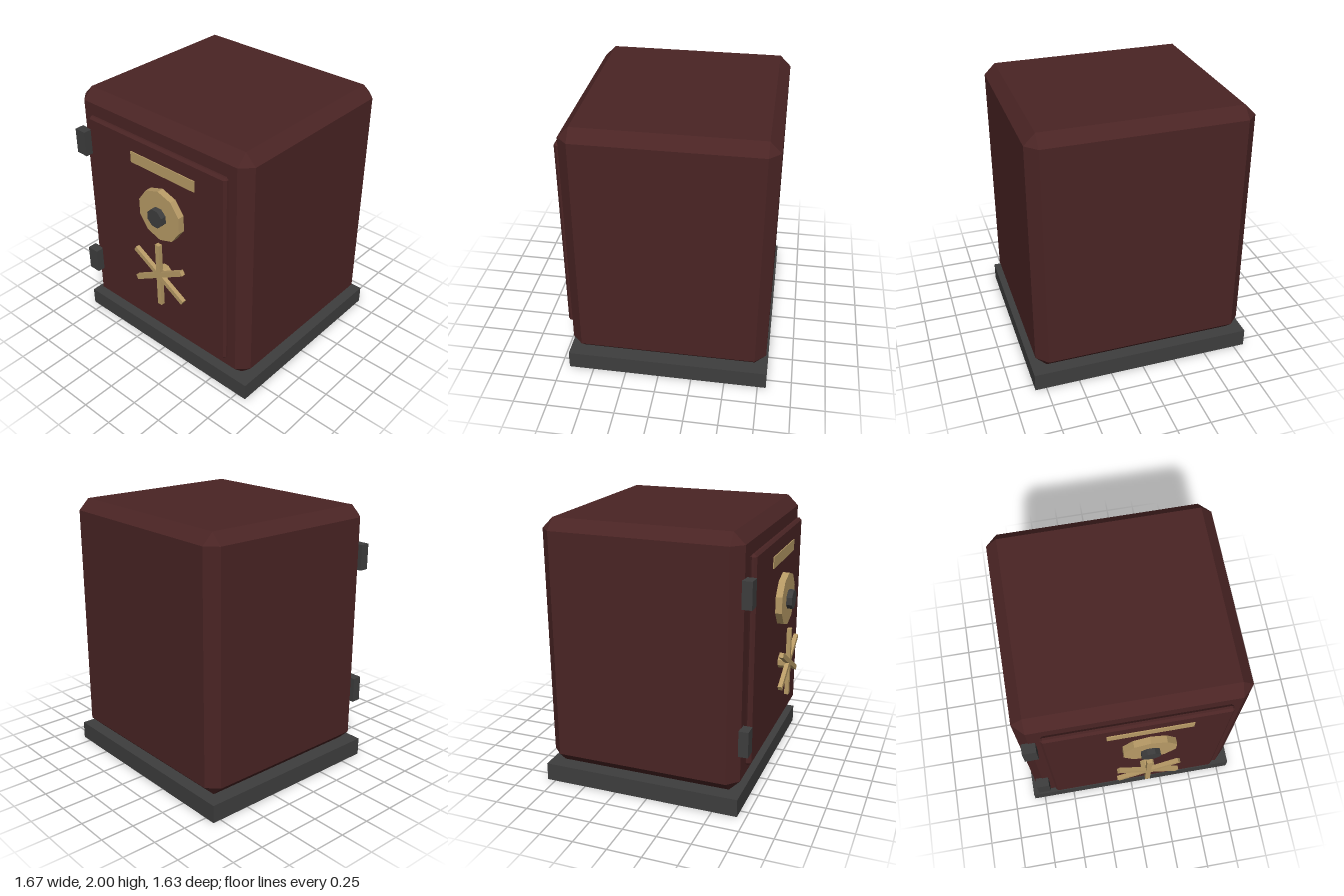
import * as THREE from 'three';
import { ConvexGeometry } from 'three/addons/geometries/ConvexGeometry.js';

const paint = (name, color) => {
  const m = new THREE.MeshStandardMaterial({ color });
  m.name = name;
  return m;
};

// Box given by its low and high corners
function box([x0, y0, z0], [x1, y1, z1]) {
  return new THREE.BoxGeometry(x1 - x0, y1 - y0, z1 - z0)
    .translate((x0 + x1) / 2, (y0 + y1) / 2, (z0 + z1) / 2);
}

// Box with every edge cut by c: three points around each corner
function chamferBox(lo, hi, c) {
  const points = [];
  for (let corner = 0; corner < 8; corner++) {
    for (let face = 0; face < 3; face++) {
      points.push(new THREE.Vector3(...[0, 1, 2].map((axis) => {
        const high = (corner >> axis) & 1;
        const inset = axis === face ? 0 : c;
        return high ? hi[axis] - inset : lo[axis] + inset;
      })));
    }
  }
  return new ConvexGeometry(points);
}

// Flat-sided disc facing the front
function disc(radius, sides, x, y, z0, z1, turn = 0) {
  const g = new THREE.CylinderGeometry(radius, radius, z1 - z0, sides)
    .rotateY(turn).rotateX(Math.PI / 2).translate(x, y, (z0 + z1) / 2).toNonIndexed();
  g.computeVertexNormals();
  return g;
}

export function createModel() {
  const red = paint('dark red paint', 0x4a2424);
  const iron = paint('dark iron', 0x3e3e3e);
  const brass = paint('brass', 0xb89b66);
  const ironShell = paint('dark iron plinth', 0x3e3e3e);
  ironShell.side = THREE.DoubleSide;

  const model = new THREE.Group();
  model.name = 'safe';
  const add = (name, geometry, material, parent = model) => {
    const mesh = new THREE.Mesh(geometry, material);
    mesh.name = name;
    parent.add(mesh);
    return mesh;
  };

  // Plinth, open underneath
  const plinth = box([-0.833, 0, -0.813], [0.833, 0.135, 0.687]);
  plinth.setIndex([...plinth.index.array].filter((_, i) => i < 18 || i >= 24));
  add('plinth', plinth, ironShell);

  // Cabinet and door
  add('cabinet', chamferBox([-0.8, 0.136, -0.797], [0.8, 2, 0.67], 0.081), red);
  add('door', chamferBox([-0.635, 0.305, 0.67], [0.663, 1.838, 0.72], 0.017), red);

  // Hinges
  for (const [name, y] of [['upperHinge', 1.6], ['lowerHinge', 0.535]]) {
    add(name, box([-0.77, y - 0.097, 0.665], [-0.673, y + 0.097, 0.737]), iron);
  }

  // Name plate, dial and knob
  add('plate', box([-0.2, 1.635, 0.719], [0.4, 1.72, 0.727]), brass);
  add('dial', disc(0.2, 10, 0.1, 1.337, 0.715, 0.77), brass);
  add('dialKnob', disc(0.073, 8, 0.1, 1.337, 0.765, 0.813, Math.PI / 8), iron);

  // Six-spoked handle: three crossed bars on a hub
  const handle = new THREE.Group();
  handle.name = 'handle';
  handle.position.set(0.1, 0.84, 0);
  model.add(handle);
  add('hub', disc(0.055, 8, 0, 0, 0.715, 0.778, Math.PI / 8), brass, handle);
  for (let i = 0; i < 3; i++) {
    const bar = add('spokeBar', box([-0.019, -0.266, 0.773], [0.019, 0.266, 0.805]), brass, handle);
    bar.rotation.z = i * Math.PI / 3;
  }

  return model;
}
